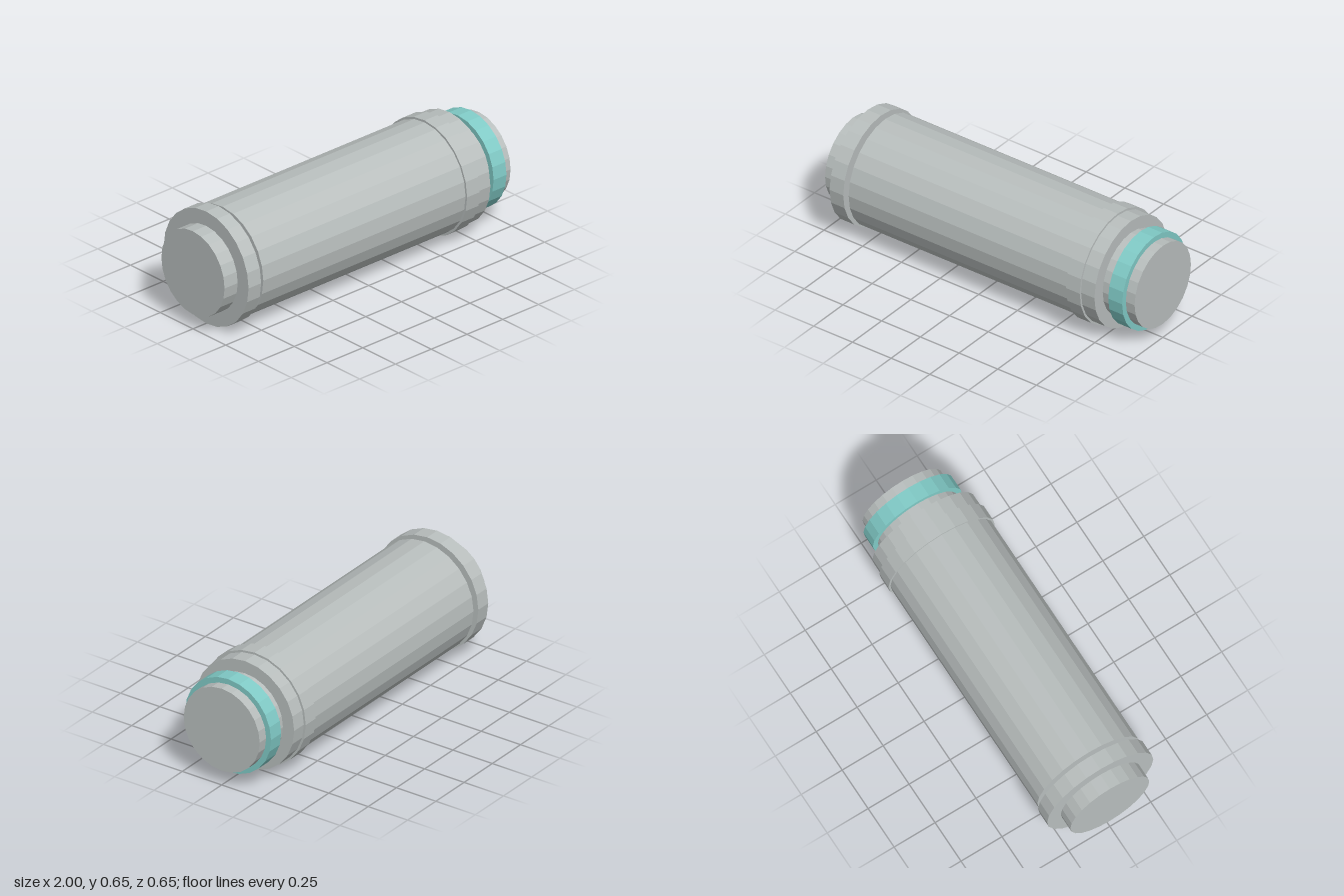
import * as THREE from 'three';

export function createModel() {
  const model = new THREE.Group();
  const grey = new THREE.MeshStandardMaterial({ color: 0xb8bebd, flatShading: true });
  grey.name = 'pale grey';
  const teal = new THREE.MeshStandardMaterial({ color: 0x80cac6, flatShading: true });
  teal.name = 'teal';
  const axisHeight = 0.324;

  // 24-sided drum lying along x, from x0 to x1
  function drum(name, radius, x0, x1, material) {
    const geometry = new THREE.CylinderGeometry(radius, radius, x1 - x0, 24);
    geometry.rotateZ(-Math.PI / 2);
    const mesh = new THREE.Mesh(geometry, material);
    mesh.name = name;
    mesh.position.set((x0 + x1) / 2, axisHeight, 0);
    model.add(mesh);
  }

  drum('core', 0.241, -1, 1, grey);
  drum('body', 0.312, -0.794, 0.794, grey);
  // raised collars
  drum('rightCollar', 0.324, -0.908, -0.82, grey);
  drum('leftCollar', 0.324, 0.62, 0.708, grey);
  // coloured band near the left end
  drum('tealBand', 0.272, 0.853, 0.943, teal);

  return model;
}
